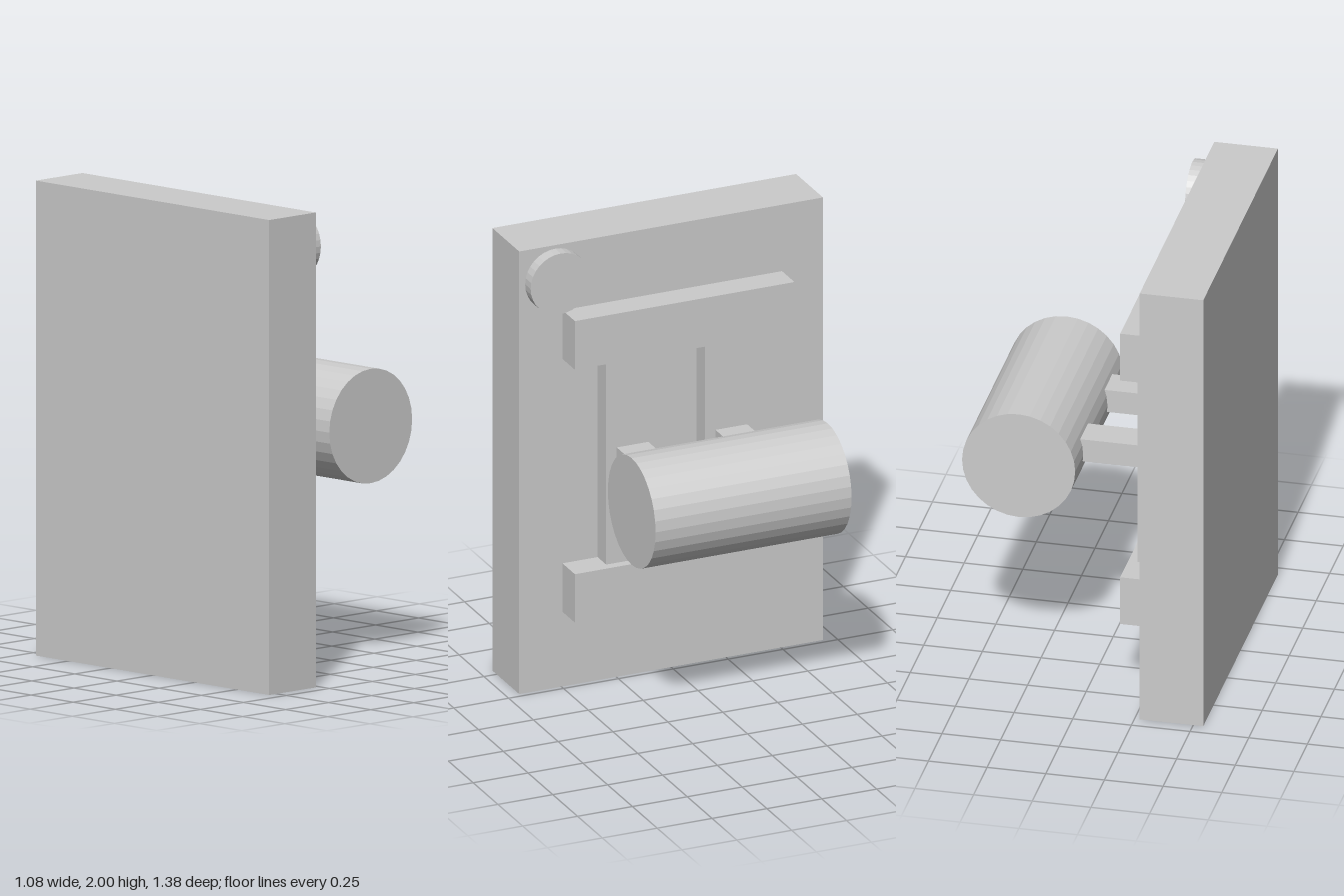
import * as THREE from 'three';

const material = new THREE.MeshStandardMaterial({ color: 0xcccccc, flatShading: true });

export function createModel() {
  const model = new THREE.Group();

  const add = (name, geometry, x, y, z) => {
    const mesh = new THREE.Mesh(geometry, material);
    mesh.name = name;
    mesh.position.set(x, y, z);
    model.add(mesh);
    return mesh;
  };

  // Box given by its limits on each axis
  const box = (name, [x0, x1], [y0, y1], [z0, z1]) =>
    add(name, new THREE.BoxGeometry(x1 - x0, y1 - y0, z1 - z0),
      (x0 + x1) / 2, (y0 + y1) / 2, (z0 + z1) / 2);

  // Upright backing board
  box('backBoard', [-0.543, -0.272], [0, 2], [-0.692, 0.692]);

  // Horizontal rails
  box('topRail', [-0.272, -0.146], [1.48, 1.7], [-0.505, 0.495]);
  box('bottomRail', [-0.272, -0.146], [0.337, 0.556], [-0.505, 0.495]);

  // Two upright slats between the rails, each carrying a roller arm
  const sides = [
    { side: 'front', slat: [0.1, 0.335], arm: [0.143, 0.287] },
    { side: 'rear', slat: [-0.355, -0.115], arm: [-0.307, -0.163] },
  ];
  for (const { side, slat, arm } of sides) {
    box(side + 'Slat', [-0.272, -0.185], [0.556, 1.48], slat);
    box(side + 'Arm', [-0.185, 0.08], [0.975, 1.077], arm);
  }

  // Large roller lying along z
  const roller = new THREE.CylinderGeometry(0.241, 0.241, 0.893, 32).rotateX(Math.PI / 2);
  add('roller', roller, 0.298, 1.003, -0.01);

  // Thin disc in the upper front corner of the board
  const disc = new THREE.CylinderGeometry(0.137, 0.137, 0.056, 32).rotateZ(Math.PI / 2);
  add('cornerDisc', disc, -0.244, 1.847, 0.528);

  return model;
}
